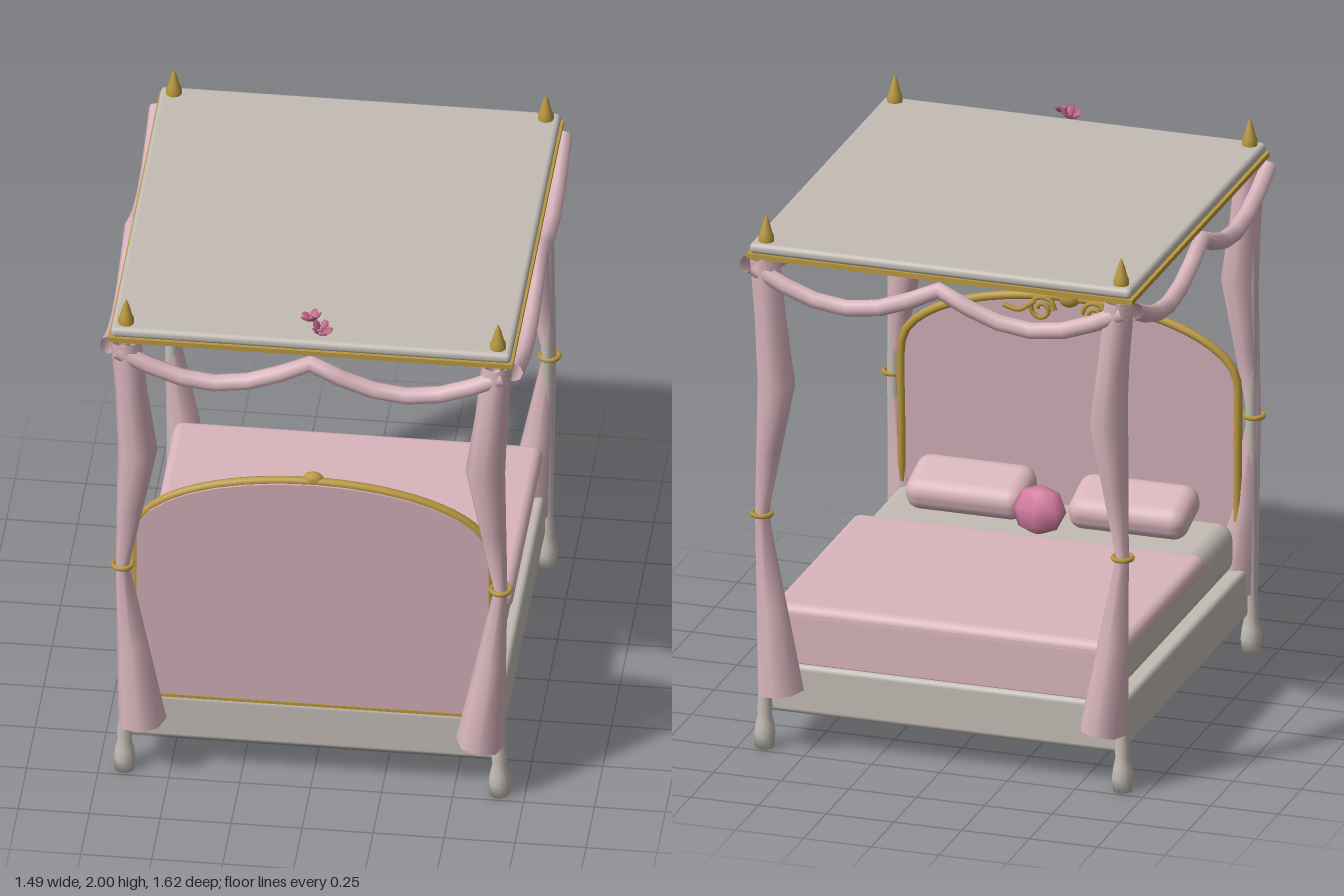
import * as THREE from 'three';
import { mergeVertices } from 'three/addons/utils/BufferGeometryUtils.js';
import { RoundedBoxGeometry } from 'three/addons/geometries/RoundedBoxGeometry.js';

const V = (x, y, z) => new THREE.Vector3(x, y, z);

function material(name, color, extra = {}) {
  return new THREE.MeshStandardMaterial({ name, color, ...extra });
}

export function createModel() {
  const ivory = material('ivory paint', 0xc3bcb5);
  const pink = material('pale pink fabric', 0xd9b5bd);
  const drape = material('pink curtain fabric', 0xd9b5bd, { side: THREE.DoubleSide });
  const panelPink = material('dusty pink upholstery', 0xcfacb5);
  const gold = material('gold', 0xb8973f);
  const rose = material('rose fabric', 0xd07a9c);
  const petalMat = material('flower petals', 0xbb5f82, { side: THREE.DoubleSide });

  const root = new THREE.Group();
  root.name = 'canopyBed';
  const add = (name, geo, mat, x = 0, y = 0, z = 0, parent = root) => {
    const m = new THREE.Mesh(geo, mat);
    m.name = name;
    m.position.set(x, y, z);
    parent.add(m);
    return m;
  };
  const roundBox = (w, h, d, r) => new RoundedBoxGeometry(w, h, d, 3, r);
  const tube = (pts, n, r, sides = 8) =>
    new THREE.TubeGeometry(new THREE.CatmullRomCurve3(pts), n, r, sides);

  // Bed base, mattress and bedding
  add('bedBase', roundBox(1.31, 0.185, 1.39, 0.02), ivory, 0, 0.223, 0);
  add('mattress', roundBox(1.25, 0.19, 1.31, 0.06), ivory, 0, 0.408, 0);
  add('blanket', roundBox(1.3, 0.075, 0.93, 0.034), pink, 0, 0.4925, -0.215);
  add('blanketDrop', roundBox(1.28, 0.19, 0.025, 0.01), pink, 0, 0.405, -0.668);
  for (const s of [-1, 1]) {
    const p = add('pillow', roundBox(0.44, 0.125, 0.225, 0.055), pink, s * 0.3, 0.575, 0.49);
    p.rotation.x = -0.3;
  }
  const cushion = add('accentCushion', new THREE.SphereGeometry(0.1, 8, 4), rose, 0, 0.582, 0.342);
  cushion.scale.set(1, 0.9, 0.55);
  cushion.rotation.x = 0.3;

  // Upholstered headboard with an arched top
  const A = 0.62, B = 0.25, SPRING = 1.0;
  const arch = [];
  for (let i = 0; i <= 16; i++) {
    const t = (i / 16) * Math.PI;
    arch.push([A * Math.cos(t), SPRING + B * Math.sin(t)]);
  }
  const outline = new THREE.Shape();
  outline.moveTo(-A, 0.31);
  outline.lineTo(A, 0.31);
  arch.forEach(([x, y]) => outline.lineTo(x, y));
  outline.closePath();
  add('headboardPanel', new THREE.ExtrudeGeometry(outline, { depth: 0.025, bevelEnabled: false }),
    panelPink, 0, 0, 0.672);
  const framePts = [V(A, 0.32, 0), V(A, 0.7, 0), ...arch.map(([x, y]) => V(x, y, 0)),
    V(-A, 0.7, 0), V(-A, 0.32, 0)];
  add('headboardFrame', tube(framePts, 56, 0.016), gold, 0, 0.004, 0.675);
  add('headboardBottomTrim', new THREE.BoxGeometry(1.24, 0.012, 0.04), gold, 0, 0.316, 0.68);

  // Crest and scrolls on the inner face of the headboard
  const crest = new THREE.Group();
  crest.name = 'headboardCrest';
  root.add(crest);
  const bead = add('crestBead', new THREE.SphereGeometry(0.04, 10, 8), gold, 0, 1.255, 0.668, crest);
  bead.scale.set(1, 0.85, 0.6);
  for (const s of [-1, 1]) {
    const pts = [];
    for (let i = 0; i <= 14; i++) {
      const t = (i / 14) * Math.PI * 3;
      const r = 0.05 - 0.036 * (i / 14);
      pts.push(V(s * (0.1 - r * Math.cos(t)), 1.205 + r * Math.sin(t), 0.662));
    }
    add('crestScroll', tube(pts, 36, 0.009, 6), gold, 0, 0, 0, crest);
    add('crestLeaf', tube([V(s * 0.12, 1.235, 0.66), V(s * 0.18, 1.195, 0.658), V(s * 0.24, 1.205, 0.66)],
      8, 0.009, 6), gold, 0, 0, 0, crest);
  }

  // Canopy roof with gold edging
  add('canopyRoof', roundBox(1.41, 0.04, 1.5, 0.018), ivory, 0, 1.88, 0);
  add('canopyUnderside', new THREE.BoxGeometry(1.38, 0.014, 1.46), ivory, 0, 1.857, 0);
  for (const s of [-1, 1]) {
    add('canopyEdging', new THREE.BoxGeometry(1.424, 0.018, 0.02), gold, 0, 1.854, s * 0.744);
    add('canopyEdging', new THREE.BoxGeometry(0.02, 0.018, 1.49), gold, s * 0.702, 1.854, 0);
  }

  // Turned posts, finials, curtains and tiebacks at the four corners
  const postProfile = [[0, 0], [0.034, 0], [0.038, 0.05], [0.034, 0.085], [0.025, 0.125], [0.028, 0.15],
    [0.021, 0.22], [0.021, 1.2], [0.018, 1.86], [0, 1.86]].map(([r, y]) => new THREE.Vector2(r, y));
  const finialProfile = [[0.028, 0], [0.028, 0.018], [0.022, 0.03], [0.012, 0.07], [0, 0.1]]
    .map(([r, y]) => new THREE.Vector2(r, y));
  // Curtain rings from the top: height, centre x, radius x, radius z
  const rings = [[1.85, 0.655, 0.055, 0.065], [1.62, 0.634, 0.057, 0.07], [1.38, 0.612, 0.07, 0.07],
    [1.13, 0.639, 0.047, 0.052], [0.88, 0.666, 0.024, 0.03], [0.55, 0.63, 0.055, 0.06],
    [0.225, 0.595, 0.085, 0.088]];
  const curtainGeometry = (sx) => {
    const n = rings.length - 1;
    let g = new THREE.CylinderGeometry(1, 1, 1, 8, n, true);
    const p = g.attributes.position;
    for (let i = 0; i < p.count; i++) {
      const j = Math.round((0.5 - p.getY(i)) * n);
      const [y, cx, rx, rz] = rings[j];
      const tilt = j === n ? -sx * p.getX(i) * 0.01 : 0;
      p.setXYZ(i, sx * cx + rx * p.getX(i), y + tilt, rz * p.getZ(i));
    }
    g.deleteAttribute('uv');
    g.deleteAttribute('normal');
    g = mergeVertices(g);
    g.computeVertexNormals();
    return g;
  };
  for (const sx of [-1, 1]) {
    for (const sz of [-1, 1]) {
      add('post', new THREE.LatheGeometry(postProfile, 12), ivory, sx * 0.66, 0, sz * 0.705);
      add('finial', new THREE.LatheGeometry(finialProfile, 12), gold, sx * 0.655, 1.9, sz * 0.705);
      add('curtain', curtainGeometry(sx), drape, 0, 0, sz * 0.722);
      const tie = add('tieback', new THREE.TorusGeometry(0.034, 0.009, 6, 16), gold, sx * 0.666, 0.88, sz * 0.72);
      tie.rotation.x = Math.PI / 2;
    }
  }

  // Fabric swags, two dips along every side
  const swagGeometry = (half) => {
    const pts = [];
    for (let i = 0; i <= 12; i++) {
      const u = i / 6 - 1;
      pts.push(V(u * half, 1.815 - 0.11 * Math.abs(Math.sin(Math.PI * u)), 0));
    }
    return tube(pts, 12, 0.031, 8);
  };
  for (const s of [-1, 1]) {
    add('swag', swagGeometry(0.68), drape, 0, 0, s * 0.758);
    add('swag', swagGeometry(0.73), drape, s * 0.715, 0, 0).rotation.y = Math.PI / 2;
  }

  // Two small blossoms on the front edge of the roof
  const flower = (x, y, z, tiltX, tiltZ) => {
    const f = new THREE.Group();
    f.name = 'flower';
    f.position.set(x, y, z);
    f.rotation.set(tiltX, 0, tiltZ);
    root.add(f);
    for (let i = 0; i < 5; i++) {
      const arm = new THREE.Group();
      arm.name = 'petalArm';
      arm.rotation.y = (i / 5) * Math.PI * 2;
      f.add(arm);
      const petal = add('petal', new THREE.SphereGeometry(0.02, 7, 5), petalMat, 0.024, 0.012, 0, arm);
      petal.scale.set(1, 0.22, 0.8);
      petal.rotation.z = 0.7;
    }
    add('flowerCentre', new THREE.SphereGeometry(0.009, 8, 6), petalMat, 0, 0.006, 0, f);
  };
  flower(-0.005, 1.938, 0.668, -0.15, 0.2);
  flower(0.033, 1.93, 0.722, 0.25, -0.25);

  return root;
}
